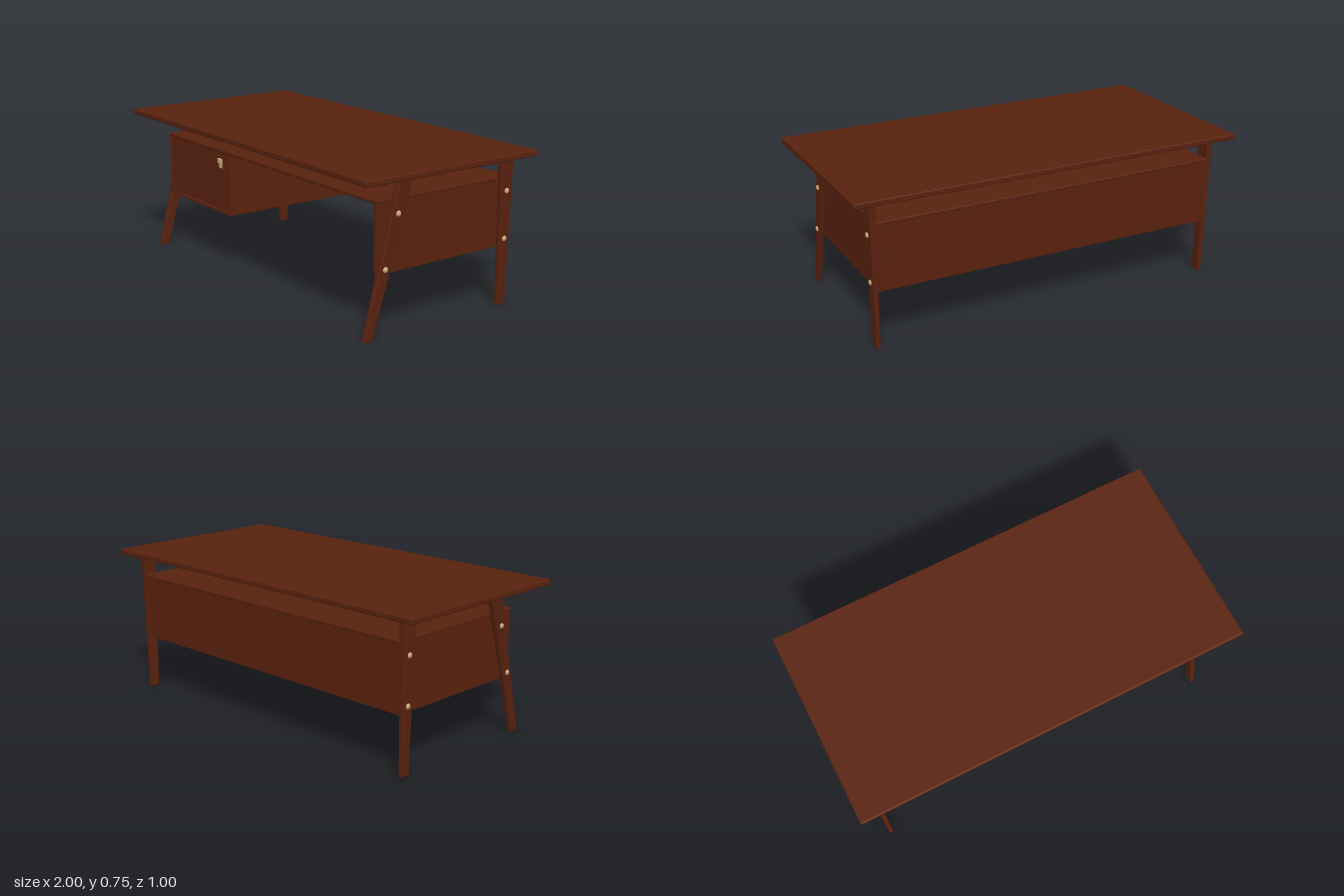
import * as THREE from 'three';
import { RoundedBoxGeometry } from 'three/addons/geometries/RoundedBoxGeometry.js';

export function createModel() {
  const desk = new THREE.Group();
  desk.name = 'desk';
  const wood = new THREE.MeshStandardMaterial({ color: 0x5a220f });
  wood.name = 'dark wood';
  const brass = new THREE.MeshStandardMaterial({ color: 0xc9a877 });
  brass.name = 'brass';

  function add(name, geometry, material) {
    const mesh = new THREE.Mesh(geometry, material);
    mesh.name = name;
    desk.add(mesh);
    return mesh;
  }

  // Board given by its limits along each axis, with softened edges
  function board(name, x0, x1, y0, y1, z0, z1, radius = 0.002, material = wood) {
    const geometry = new RoundedBoxGeometry(x1 - x0, y1 - y0, z1 - z0, 2, radius);
    add(name, geometry, material).position.set((x0 + x1) / 2, (y0 + y1) / 2, (z0 + z1) / 2);
  }

  // Floating top and the shelf below it
  board('tableTop', -1, 1, 0.722, 0.75, -0.5, 0.5, 0.006);
  board('shelf', -0.885, 0.885, 0.605, 0.62, -0.438, 0.352, 0.004);

  // Side and back panels
  board('rightSidePanel', -0.882, -0.866, 0.285, 0.607, -0.436, 0.35);
  board('leftSidePanel', 0.866, 0.882, 0.285, 0.607, -0.436, 0.35);
  board('backPanel', -0.868, 0.868, 0.285, 0.607, -0.431, -0.416);

  // Drawer cabinet
  board('cabinetInnerSide', -0.3, -0.285, 0.285, 0.607, -0.42, 0.35);
  board('cabinetBottom', -0.868, -0.287, 0.285, 0.3, -0.42, 0.35);
  board('drawerFront', -0.863, -0.302, 0.303, 0.603, 0.325, 0.342);
  board('drawerPlate', -0.39, -0.36, 0.52, 0.57, 0.341, 0.345, 0.001, brass);
  board('drawerPullTab', -0.39, -0.36, 0.545, 0.57, 0.344, 0.354, 0.002, brass);

  // Leg: bevelled outline in side view, thinning toward the floor on its outer face
  const INNER = 0.88, THICK = 0.031, BEVEL = 0.005;
  function leg(name, side, outline) {
    const shape = new THREE.Shape(outline.map(([z, y]) => new THREE.Vector2(-z, y)));
    const geometry = new THREE.ExtrudeGeometry(shape, {
      depth: THICK - 2 * BEVEL, bevelThickness: BEVEL, bevelSize: BEVEL,
      bevelOffset: -BEVEL, bevelSegments: 2,
    });
    geometry.translate(0, 0, BEVEL).rotateY(Math.PI / 2);
    const p = geometry.attributes.position;
    for (let i = 0; i < p.count; i++) {
      const taper = 0.68 + 0.32 * Math.min(1, p.getY(i) / 0.6);
      const x = p.getX(i);
      p.setX(i, side > 0 ? INNER + x * taper : -INNER - (THICK - x) * taper);
    }
    geometry.computeVertexNormals();
    add(name, geometry, wood);
  }

  // Domed screw on the outside of a leg
  function screw(side, y, z) {
    const geometry = new THREE.SphereGeometry(0.0135, 12, 5, 0, Math.PI * 2, 0, Math.PI / 2);
    geometry.scale(1, 0.65, 1).rotateZ(-side * Math.PI / 2);
    const taper = 0.68 + 0.32 * Math.min(1, y / 0.6);
    add('screw', geometry, brass).position.set(side * (INNER + THICK * taper - 0.001), y, z);
  }

  const frontOutline = [[0.425, 0], [0.376, 0], [0.162, 0.724], [0.24, 0.724]];
  const backOutline = [[-0.377, 0], [-0.425, 0], [-0.438, 0.724], [-0.362, 0.724]];
  for (const side of [-1, 1]) {
    const label = side > 0 ? 'left' : 'right';
    leg(label + 'FrontLeg', side, frontOutline);
    leg(label + 'BackLeg', side, backOutline);
    for (const [y, z] of [[0.555, 0.25], [0.314, 0.315], [0.555, -0.4], [0.325, -0.4]]) screw(side, y, z);
  }
  return desk;
}
